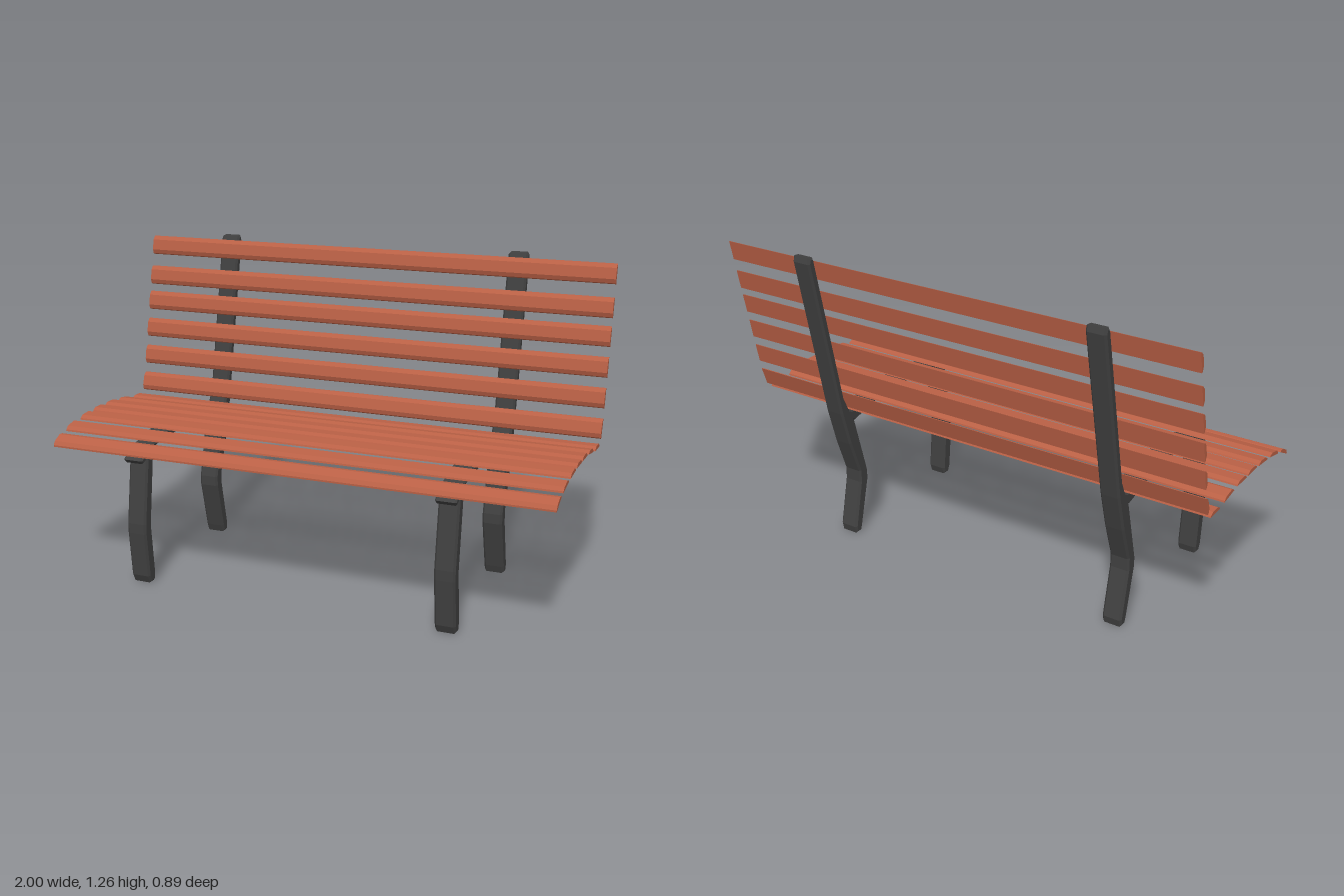
import * as THREE from 'three';

const iron = new THREE.MeshStandardMaterial({ color: 0x404040, flatShading: true });
const wood = new THREE.MeshStandardMaterial({ color: 0xb96045, flatShading: true });

// Extrude a side profile of [z, y] points along x, centred on x = 0
function extrudeSide(points, width, bevel) {
  const shape = new THREE.Shape(points.map(([z, y]) => new THREE.Vector2(z, y)));
  const geometry = new THREE.ExtrudeGeometry(shape, {
    depth: width - 2 * bevel,
    bevelEnabled: bevel > 0,
    bevelSize: bevel,
    bevelThickness: bevel,
    bevelOffset: -bevel,
    bevelSegments: 1,
  });
  geometry.translate(0, 0, -width / 2 + bevel);
  return geometry.rotateY(-Math.PI / 2);
}

// Bent front leg
const frontLegProfile = [
  [0.405, 0], [0.375, 0], [0.367, 0.03], [0.387, 0.24], [0.348, 0.55],
  [0.396, 0.54], [0.437, 0.25], [0.437, 0.21], [0.418, 0.03],
];

// Rear leg that carries on up as the backrest post
const rearPostProfile = [
  [-0.222, 0], [-0.252, 0], [-0.258, 0.03], [-0.215, 0.225], [-0.215, 0.275],
  [-0.266, 0.42], [-0.308, 0.57], [-0.446, 1.235], [-0.44, 1.26], [-0.418, 1.257],
  [-0.411, 1.24], [-0.285, 0.63], [-0.264, 0.585], [-0.228, 0.515],
  [-0.163, 0.265], [-0.163, 0.225], [-0.212, 0.03],
];

// Arched beam under the seat
const seatBeamProfile = [
  [0.447, 0.51], [0.432, 0.495], [0.415, 0.5], [0.385, 0.53], [0.348, 0.54],
  [0.255, 0.552], [0.105, 0.558], [-0.045, 0.555], [-0.228, 0.515], [-0.28, 0.535],
  [-0.27, 0.575], [-0.245, 0.565], [-0.16, 0.567], [-0.045, 0.587], [0.105, 0.591],
  [0.24, 0.581], [0.37, 0.553], [0.41, 0.535],
];

// Underside of each slat: [z, y] of one edge, then of the other
const seatSlats = [
  [0.435, 0.52, 0.368, 0.555], [0.345, 0.56, 0.265, 0.578], [0.24, 0.58, 0.16, 0.588],
  [0.145, 0.59, 0.065, 0.59], [0.053, 0.59, -0.027, 0.589], [-0.053, 0.586, -0.133, 0.573],
  [-0.168, 0.566, -0.243, 0.565],
];
const postFace = (y) => -0.285 - 0.206 * (y - 0.63);
const backSlats = [1.163, 1.037, 0.93, 0.815, 0.7].map(
  (y) => [postFace(y), y, postFace(y + 0.077), y + 0.077]);
backSlats.push([-0.267, 0.588, -0.292, 0.662]);

// Slat with a chamfered outer face
function makeSlat([z0, y0, z1, y1], name) {
  const along = new THREE.Vector2(z1 - z0, y1 - y0);
  const w = along.length();
  along.normalize();
  const out = new THREE.Vector2(along.y, -along.x);
  const section = [[0, 0], [w, 0], [w - 0.003, 0.006], [w - 0.018, 0.015], [0.018, 0.015], [0.003, 0.006]]
    .map(([s, t]) => [z0 + along.x * s + out.x * t, y0 + along.y * s + out.y * t]);
  const mesh = new THREE.Mesh(extrudeSide(section, 2, 0), wood);
  mesh.name = name;
  return mesh;
}

export function createModel() {
  const bench = new THREE.Group();
  bench.name = 'bench';

  // Two iron side frames
  const frameParts = {
    frontLeg: extrudeSide(frontLegProfile, 0.08, 0.008),
    rearPost: extrudeSide(rearPostProfile, 0.08, 0.008),
    seatBeam: extrudeSide(seatBeamProfile, 0.08, 0.006),
  };
  for (const [name, x] of [['rightFrame', -0.64], ['leftFrame', 0.61]]) {
    const frame = new THREE.Group();
    frame.name = name;
    for (const part in frameParts) {
      const mesh = new THREE.Mesh(frameParts[part], iron);
      mesh.name = part;
      frame.add(mesh);
    }
    frame.position.x = x;
    bench.add(frame);
  }

  // Wooden slats of the seat and the backrest
  const seat = new THREE.Group();
  seat.name = 'seat';
  seatSlats.forEach((s, i) => seat.add(makeSlat(s, `seatSlat${i + 1}`)));
  const backrest = new THREE.Group();
  backrest.name = 'backrest';
  backSlats.forEach((s, i) => backrest.add(makeSlat(s, `backSlat${i + 1}`)));
  bench.add(seat, backrest);

  return bench;
}
